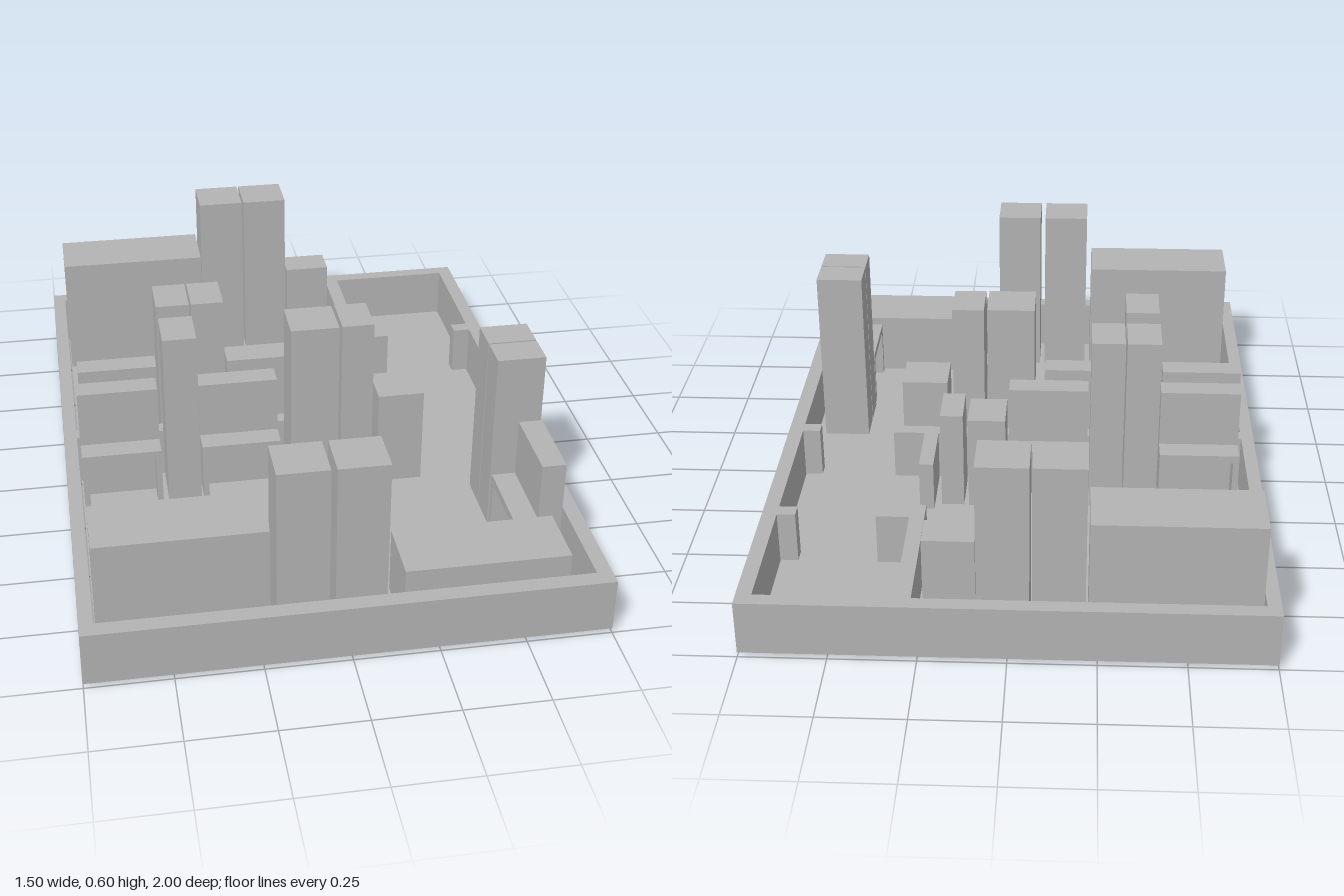
import * as THREE from 'three';

export function createModel() {
  const model = new THREE.Group();
  model.name = 'apartmentModel';
  const grey = new THREE.MeshStandardMaterial({ color: 0xb4b4b4 });
  grey.name = 'plain grey';
  const FLOOR = 0.018;

  // Box given by its extents
  const box = (name, x0, x1, z0, z1, top, bottom = FLOOR, parent = model) => {
    const mesh = new THREE.Mesh(new THREE.BoxGeometry(x1 - x0, top - bottom, z1 - z0), grey);
    mesh.position.set((x0 + x1) / 2, (top + bottom) / 2, (z0 + z1) / 2);
    mesh.name = name;
    parent.add(mesh);
    return mesh;
  };

  // Floor plate, slightly below the walls
  box('floor', -0.705, 0.703, -0.95, 0.949, FLOOR, 0);

  // Walls: outer rectangle with the joined rooms cut out, as [x, z]
  const rooms = [
    [-0.71, 0.95], [0.705, 0.95], [0.705, 0.005], [0.65, 0.005], [0.65, -0.04], [0.705, -0.04],
    [0.705, -0.5], [0.65, -0.5], [0.65, -0.545], [0.705, -0.545], [0.705, -0.955], [0.31, -0.955],
    [0.31, -0.545], [0.41, -0.545], [0.41, -0.5], [0.31, -0.5], [0.31, -0.475], [0.265, -0.475],
    [0.265, -0.955], [-0.71, -0.955], [-0.71, -0.04], [0.265, -0.04], [0.265, -0.24], [0.31, -0.24],
    [0.31, -0.04], [0.41, -0.04], [0.41, 0.005], [-0.71, 0.005],
  ];
  const toPoints = (list) => list.map(([x, z]) => new THREE.Vector2(x, -z));
  const plan = new THREE.Shape(toPoints([[-0.75, 1], [0.75, 1], [0.75, -1], [-0.75, -1]]));
  plan.holes.push(new THREE.Path(toPoints(rooms)));
  const wallGeometry = new THREE.ExtrudeGeometry(plan, { depth: 0.165, bevelEnabled: false });
  wallGeometry.rotateX(-Math.PI / 2).translate(0, 0.015, 0);
  const walls = new THREE.Mesh(wallGeometry, grey);
  walls.name = 'walls';
  model.add(walls);

  // Tall wardrobes: x0, x1, z0, z1
  const wardrobes = [
    [-0.215, -0.067, -0.945, -0.8], [-0.06, 0.087, -0.945, -0.8],
    [-0.435, -0.331, -0.205, -0.06], [-0.325, -0.223, -0.205, -0.06],
    [-0.435, -0.331, 0.015, 0.16], [-0.043, 0.107, 0.018, 0.163], [0.117, 0.217, 0.015, 0.16],
    [0.53, 0.677, 0.228, 0.332], [0.53, 0.677, 0.338, 0.44],
    [-0.205, -0.057, 0.787, 0.932], [-0.04, 0.107, 0.787, 0.932],
  ];
  for (const extents of wardrobes) box('wardrobe', ...extents, 0.595);

  // Wide cupboards, small cabinets and a low bench
  box('cupboard', -0.703, -0.223, -0.94, -0.745, 0.42);
  box('cupboard', -0.703, -0.223, 0.742, 0.938, 0.42);
  box('cabinet', 0.04, 0.157, -0.213, -0.068, 0.325);
  box('cabinet', 0.172, 0.243, -0.21, -0.06, 0.338);
  box('cabinet', 0.237, 0.382, 0.015, 0.16, 0.335);
  box('lowBench', 0.16, 0.64, 0.72, 0.917, 0.224);

  // Bed with a tall headboard
  box('headboard', 0.092, 0.24, -0.89, -0.785, 0.325);
  box('bed', 0.092, 0.24, -0.785, -0.5, 0.14);

  // Desk facing +z: shelf unit behind an open-fronted table
  const addDesk = (x, z, turn) => {
    const desk = new THREE.Group();
    desk.name = 'desk';
    const w = 0.124, panel = 0.018;
    box('shelfUnit', -w, w, -0.072, 0, 0.387, FLOOR, desk);
    box('deskTop', -w, w, 0, 0.072, 0.205, 0.18, desk);
    box('deskSide', -w, -w + panel, 0, 0.072, 0.18, FLOOR, desk);
    box('deskSide', w - panel, w, 0, 0.072, 0.18, FLOOR, desk);
    desk.position.set(x, 0, z);
    desk.rotation.y = turn;
    model.add(desk);
  };
  addDesk(-0.577, 0.09, 0);
  addDesk(-0.2, 0.09, 0);
  addDesk(-0.567, -0.123, Math.PI);
  addDesk(-0.092, -0.123, Math.PI);
  addDesk(0.603, 0.58, -Math.PI / 2);

  return model;
}
